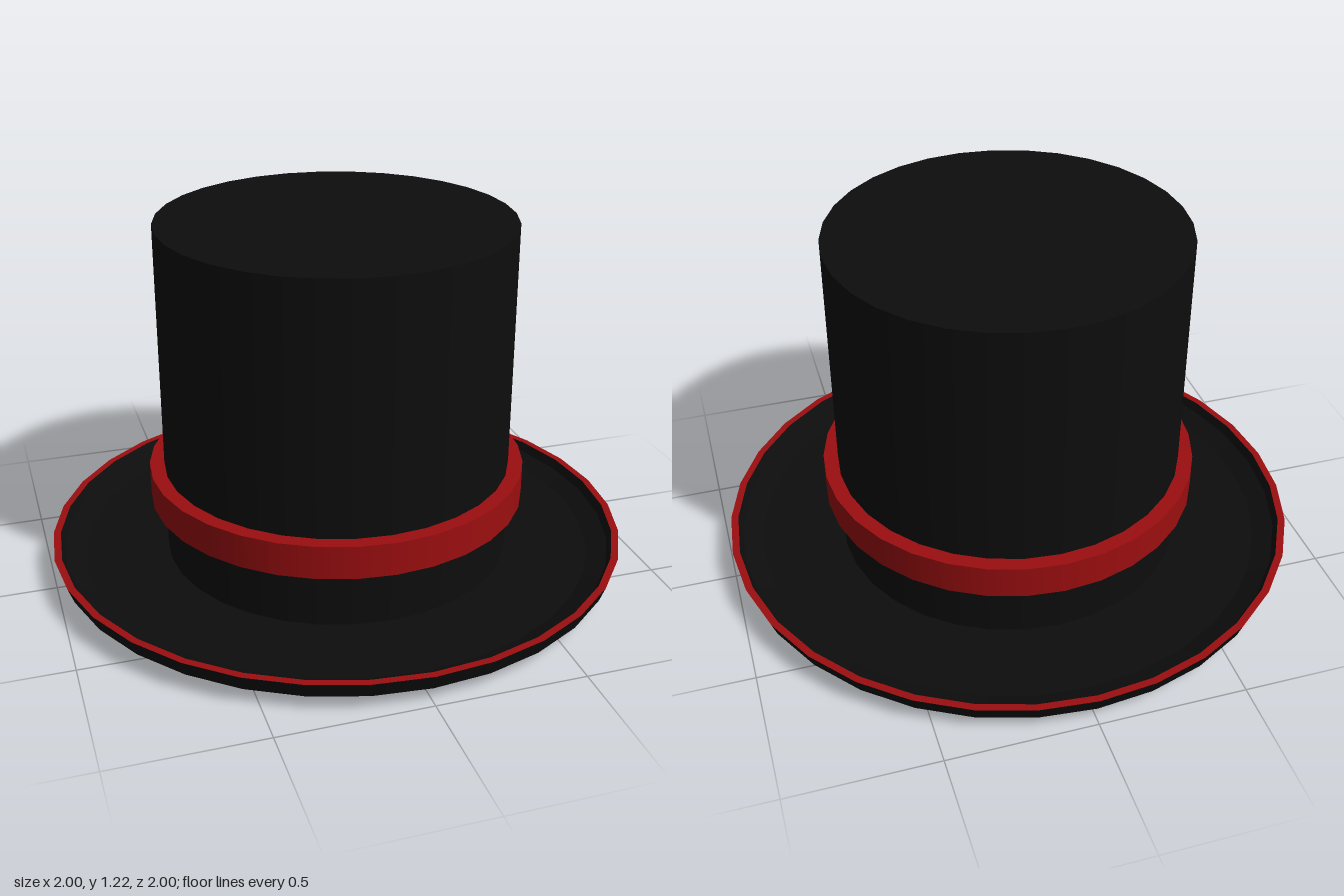
import * as THREE from 'three';
import { mergeGeometries } from 'three/addons/utils/BufferGeometryUtils.js';

const SIDES = 32;

// Lathe that is smooth around the axis but keeps a hard edge at each profile point
function creasedLathe(profile) {
  const bands = [];
  for (let i = 0; i < profile.length - 1; i++) {
    const pair = [profile[i], profile[i + 1]].map(([r, y]) => new THREE.Vector2(r, y));
    bands.push(new THREE.LatheGeometry(pair, SIDES));
  }
  return mergeGeometries(bands);
}

export function createModel() {
  const black = new THREE.MeshStandardMaterial({ color: 0x0d0d0d });
  black.name = 'black felt';
  const red = new THREE.MeshStandardMaterial({ color: 0x9c0e10 });
  red.name = 'red ribbon';

  const hat = new THREE.Group();
  hat.name = 'topHat';
  const add = (name, profile, material) => {
    const mesh = new THREE.Mesh(creasedLathe(profile), material);
    mesh.name = name;
    hat.add(mesh);
  };

  // Tall crown with a flat top
  add('crown', [[0.6, 0.05], [0.6, 1.22], [0, 1.22]], black);

  // Hollow inside, open at the bottom
  add('lining', [[0, 1.17], [0.48, 1.17], [0.48, 0]], black);

  // Brim: underside with upturned edge, and the shallow dish on top
  add('brimUnderside', [[0.48, 0], [0.9, 0], [0.98, 0.05], [1, 0.105]], black);
  add('brimTop', [[0.975, 0.105], [0.96, 0.075], [0.89, 0.05], [0.6, 0.05]], black);

  // Red trim along the top of the brim edge
  add('brimTrim', [[1, 0.105], [0.975, 0.105]], red);

  // Ribbon band around the crown
  add('ribbonBand', [[0.6, 0.25], [0.65, 0.25], [0.65, 0.365], [0.6, 0.365]], red);

  return hat;
}
